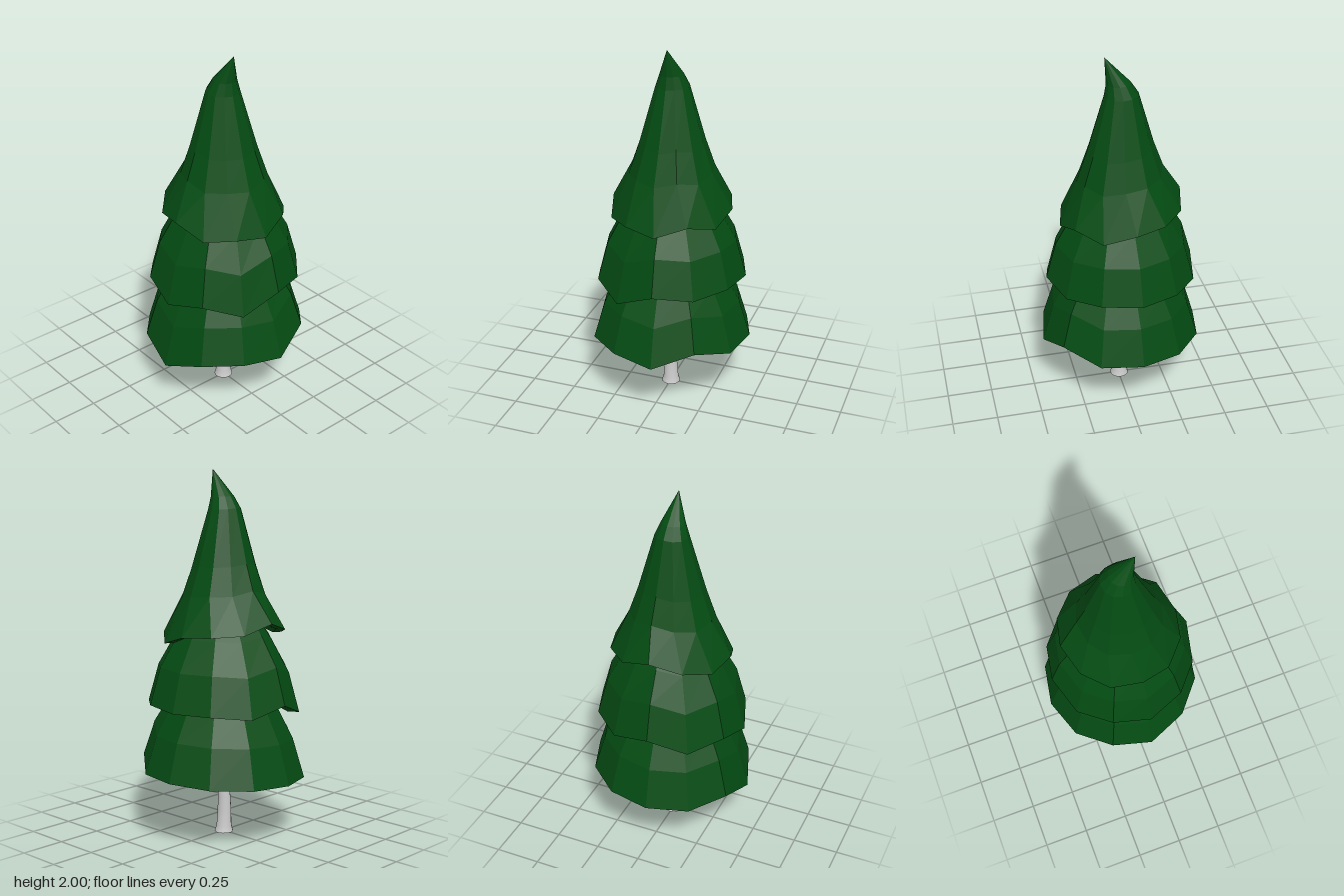
import * as THREE from 'three';

// Surface through a list of closed rings, each an array of Vector3
function loft(rings) {
  const n = rings[0].length;
  const index = [];
  for (let i = 0; i < rings.length - 1; i++) {
    for (let j = 0; j < n; j++) {
      const a = i * n + j, b = i * n + (j + 1) % n;
      index.push(a, a + n, b, b, a + n, b + n);
    }
  }
  const geometry = new THREE.BufferGeometry().setFromPoints(rings.flat());
  geometry.setIndex(index);
  geometry.computeVertexNormals();
  return geometry;
}

function ring(radius, sides, turn, centreX, centreZ, heightAt) {
  return Array.from({ length: sides }, (_, j) => {
    const a = turn + (j / sides) * Math.PI * 2;
    return new THREE.Vector3(centreX + radius * Math.cos(a), heightAt(j), centreZ + radius * Math.sin(a));
  });
}

// Hollow skirt of foliage. The hem heights run round from the left side towards the front;
// profile rows are radius, rise above the mean hem, x shift and twist.
// The hem's waviness fades with the radius; rimDrop lowers the inner edge of the rim.
function makeBoughs(name, material, turn, rimDrop, hem, profile) {
  const mean = hem.reduce((sum, y) => sum + y, 0) / hem.length;
  const skin = (scale, drop) => profile.map(([radius, rise, shift = -0.005, twist = 0]) => {
    const wave = (radius / profile[0][0]) ** 2;
    return ring(radius * scale, hem.length, turn + twist, shift, -0.005,
      (j) => mean + rise - drop + wave * (hem[j] - mean));
  });
  // Down the inside, round the rim and up the outside
  const boughs = new THREE.Mesh(loft([...skin(0.85, rimDrop).reverse(), ...skin(1, 0)]), material);
  boughs.name = name;
  return boughs;
}

export function createModel() {
  const tree = new THREE.Group();
  tree.name = 'firTree';

  const green = new THREE.MeshStandardMaterial({ color: 0x044b13, flatShading: true });
  const grey = new THREE.MeshStandardMaterial({ color: 0xcccccc, side: THREE.DoubleSide });

  tree.add(makeBoughs('lowerBoughs', green, -0.08, 0.016,
    [0.34, 0.37, 0.36, 0.28, 0.355, 0.33, 0.34, 0.35, 0.36, 0.37, 0.37, 0.43],
    [[0.449, 0], [0.385, 0.21], [0.305, 0.36], [0.17, 0.6], [0, 0.78]]));

  tree.add(makeBoughs('middleBoughs', green, -0.08, 0,
    [0.755, 0.665, 0.72, 0.67, 0.73, 0.695, 0.77, 0.72, 0.74, 0.74, 0.75, 0.735],
    [[0.418, 0], [0.36, 0.21], [0.265, 0.38], [0.14, 0.56], [0, 0.72]]));

  // The tip leans left above the last narrow ring
  tree.add(makeBoughs('upperBoughs', green, -0.04, 0,
    [1.06, 1.085, 1.07, 1.135, 1.11, 1.15, 1.2, 1.15, 1.14, 1.13, 1.08, 1.12],
    [[0.335, 0, -0.01], [0.232, 0.21, -0.007, 0.12], [0.178, 0.365, -0.01, 0.12],
      [0.09, 0.67, -0.015, 0.12], [0.064, 0.735, 0, 0.12], [0, 0.88, 0.072]]));

  // Slightly bent open trunk with a flared foot: radius, height, x, z
  const trunkRows = [
    [0.052, 0, -0.005, 0], [0.042, 0.035, -0.006, 0], [0.038, 0.12, -0.006, 0.003],
    [0.035, 0.2, -0.007, 0.001], [0.032, 0.28, -0.004, -0.006], [0.031, 0.36, -0.002, -0.009],
    [0.03, 0.45, 0, -0.01], [0, 0.45, 0, -0.01],
  ];
  const trunk = new THREE.Mesh(
    loft(trunkRows.map(([r, y, x, z]) => ring(r, 14, 0, x, z, () => y))), grey);
  trunk.name = 'trunk';
  tree.add(trunk);

  return tree;
}
